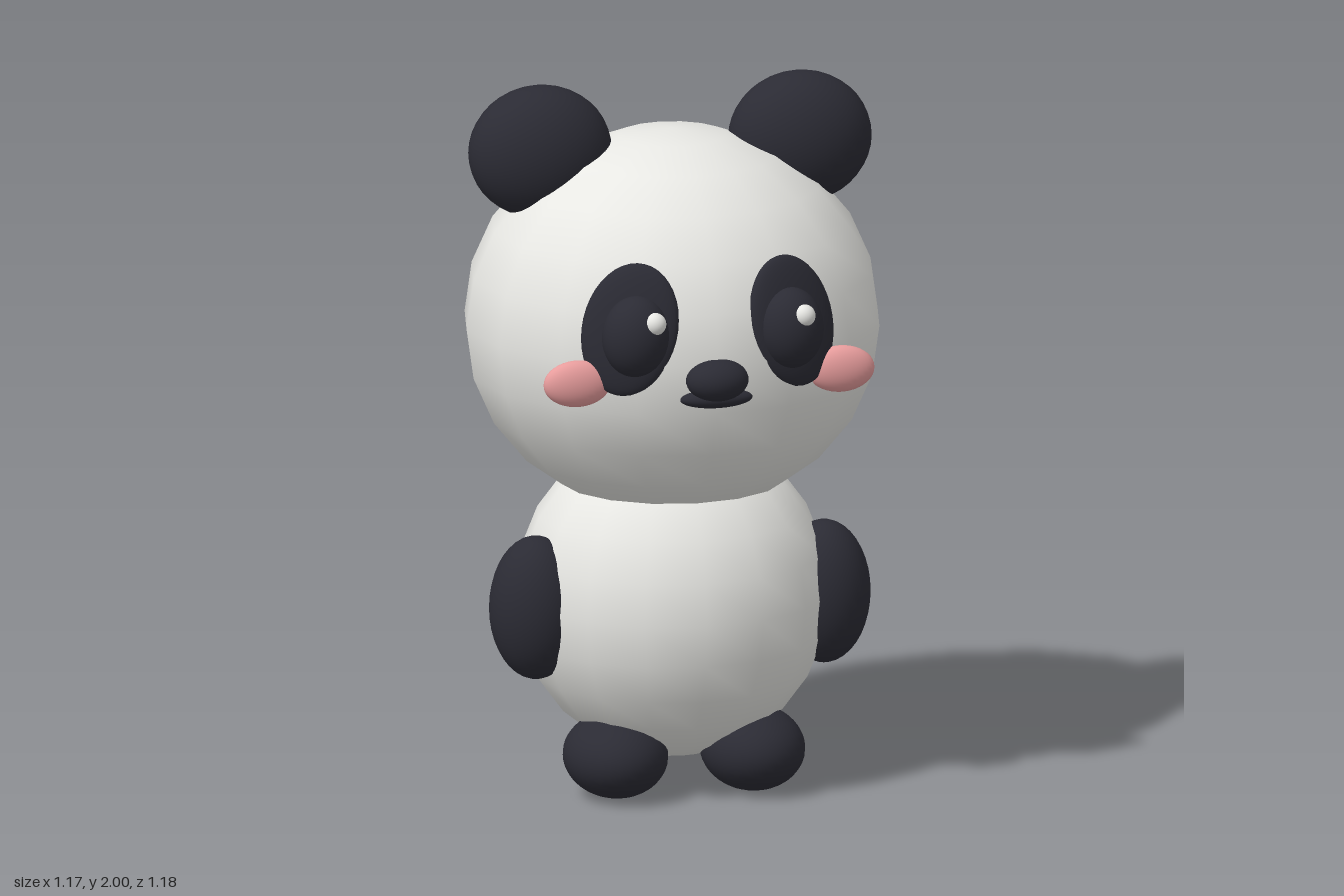
import * as THREE from 'three';

export function createModel() {
  const model = new THREE.Group();
  const make = (name, color) => {
    const m = new THREE.MeshStandardMaterial({ color });
    m.name = name;
    return m;
  };
  const fur = make('paleFur', 0xe8e8e4);
  const dark = make('darkFur', 0x2b2b34);
  const pink = make('blushPink', 0xeca0a0);
  const white = make('eyeWhite', 0xf2f2ee);

  // Large masses use a coarse sphere, small parts a fine one
  const coarse = new THREE.SphereGeometry(1, 16, 12);
  const fine = new THREE.SphereGeometry(1, 32, 20);

  function blob(name, material, pos, radii, rot = [0, 0, 0], geometry = fine) {
    const mesh = new THREE.Mesh(geometry, material);
    mesh.name = name;
    mesh.position.set(...pos);
    mesh.scale.set(...radii);
    mesh.rotation.set(rot[0], rot[1], rot[2], 'YXZ');
    model.add(mesh);
  }

  // Same part on both sides, mirrored in x
  function pair(name, material, [x, y, z], radii, [rx, ry, rz] = [0, 0, 0]) {
    blob('left' + name, material, [x, y, z], radii, [rx, ry, rz]);
    blob('right' + name, material, [-x, y, z], radii, [rx, -ry, -rz]);
  }

  // Head and body
  blob('head', fur, [0, 1.32, -0.03], [0.585, 0.545, 0.56], [0, 0, 0], coarse);
  blob('body', fur, [0, 0.54, -0.025], [0.44, 0.46, 0.42], [0, 0, 0], coarse);

  // Ears and limbs
  pair('Ear', dark, [0.37, 1.813, -0.055], [0.202, 0.187, 0.142]);
  pair('Arm', dark, [0.41, 0.54, 0.065], [0.13, 0.203, 0.13]);
  pair('Foot', dark, [0.195, 0.118, 0.115], [0.145, 0.118, 0.175]);

  // Face
  pair('EyePatch', dark, [0.23, 1.418, 0.442], [0.135, 0.188, 0.04], [-0.14, 0.4, 0.2]);
  pair('Eye', dark, [0.22, 1.405, 0.47], [0.094, 0.115, 0.087], [0, 0.2, 0.08]);
  blob('rightEyeGlint', white, [-0.18, 1.452, 0.53], [0.032, 0.032, 0.03]);
  blob('leftEyeGlint', white, [0.245, 1.452, 0.53], [0.032, 0.032, 0.03]);
  pair('Cheek', pink, [0.375, 1.266, 0.42], [0.096, 0.066, 0.039]);
  blob('nose', dark, [0, 1.28, 0.52], [0.088, 0.06, 0.067]);
  blob('mouth', dark, [0, 1.225, 0.51], [0.103, 0.027, 0.035]);

  return model;
}
